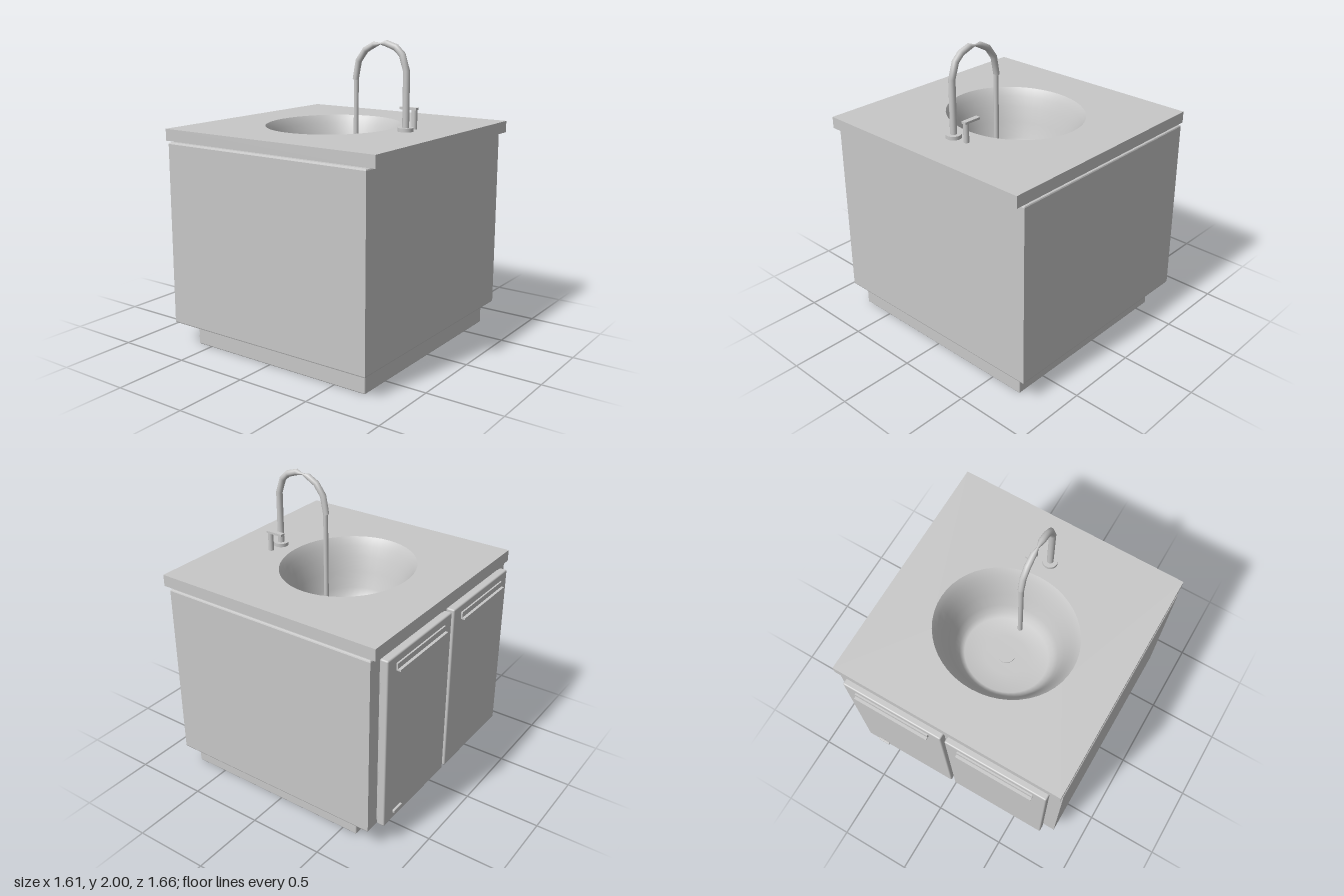
import * as THREE from 'three';
import { RoundedBoxGeometry } from 'three/addons/geometries/RoundedBoxGeometry.js';

const grey = new THREE.MeshStandardMaterial({ color: 0xc8c8c8 });
grey.name = 'grey';
const greyTwoSided = grey;
greyTwoSided.side = THREE.DoubleSide;

const BOWL_Z = -0.03, BOWL_RX = 0.475, BOWL_RZ = 0.43;

export function createModel() {
  const model = new THREE.Group();
  model.name = 'sinkCabinet';

  const add = (name, geometry, x = 0, y = 0, z = 0) => {
    const mesh = new THREE.Mesh(geometry, grey);
    mesh.name = name;
    mesh.position.set(x, y, z);
    model.add(mesh);
    return mesh;
  };
  // Box given by its limits, optionally with rounded edges
  const box = (name, x0, x1, y0, y1, z0, z1, r = 0) => {
    const s = [x1 - x0, y1 - y0, z1 - z0];
    const g = r ? new RoundedBoxGeometry(...s, 2, r) : new THREE.BoxGeometry(...s);
    return add(name, g, (x0 + x1) / 2, (y0 + y1) / 2, (z0 + z1) / 2);
  };
  // Horizontal slab with an oval opening for the bowl
  const slab = (name, hx, y0, y1, z0, z1, bevel, holeScale) => {
    const b = bevel;
    const s = new THREE.Shape();
    s.moveTo(-hx + b, -z1 + b);
    s.lineTo(hx - b, -z1 + b);
    s.lineTo(hx - b, -z0 - b);
    s.lineTo(-hx + b, -z0 - b);
    s.closePath();
    const hole = new THREE.Path();
    hole.absellipse(0, -BOWL_Z, BOWL_RX * holeScale, BOWL_RZ * holeScale, 0, Math.PI * 2, true);
    s.holes.push(hole);
    const g = new THREE.ExtrudeGeometry(s, {
      depth: y1 - y0 - 2 * b, curveSegments: 24,
      bevelEnabled: b > 0, bevelSize: b, bevelThickness: b, bevelSegments: 2,
    });
    g.rotateX(-Math.PI / 2);
    return add(name, g, 0, y0 + b, 0);
  };

  // Cabinet
  box('plinth', -0.73, 0.73, 0, 0.142, -0.605, 0.725, 0.008);
  box('plinthStrip', -0.7, 0.7, 0.028, 0.042, -0.634, -0.626);
  slab('cabinetBody', 0.806, 0.14, 1.353, -0.742, 0.775, 0.01, 1.03);
  slab('countertop', 0.8, 1.36, 1.437, -0.77, 0.83, 0, 1);

  // Doors with pull handles on the back
  for (const side of [-1, 1]) {
    const span = (a, b) => (side > 0 ? [a, b] : [-b, -a]);
    box('doorSeal', ...span(0.03, 0.71), 0.175, 1.32, -0.756, -0.738);
    box('door', ...span(0.014, 0.725), 0.16, 1.333, -0.805, -0.752, 0.01);
    box('handlePlate', ...span(0.105, 0.637), 1.235, 1.283, -0.816, -0.804);
    box('handleLip', ...span(0.105, 0.637), 1.235, 1.247, -0.835, -0.815);
  }
  box('doorTag', 0.54, 0.63, 0.205, 0.226, -0.82, -0.804, 0.004);

  // Oval bowl
  const profile = [
    [0, -0.42], [0.3, -0.42], [0.6, -0.415], [0.67, -0.39], [0.73, -0.33], [0.8, -0.22],
    [0.87, -0.12], [0.93, -0.055], [0.97, -0.02], [1, 0],
  ].map(([r, y]) => new THREE.Vector2(r, y));
  const bowl = new THREE.LatheGeometry(profile, 48);
  bowl.scale(BOWL_RX, 1, BOWL_RZ);
  add('bowl', bowl, 0, 1.437, BOWL_Z);
  add('drain', new THREE.CylinderGeometry(0.058, 0.058, 0.008, 32), 0, 1.02, BOWL_Z);

  // Arched tap, swept from [y, z, radius] stations with a pinch at the crown
  const stations = [
    [1.45, 0.525, 0.022], [1.81, 0.525, 0.022], [1.91, 0.492, 0.022], [1.953, 0.445, 0.022],
    [1.976, 0.375, 0.021], [1.972, 0.33, 0.006], [1.965, 0.285, 0.02], [1.93, 0.22, 0.021],
    [1.86, 0.168, 0.021], [1.74, 0.145, 0.02],
  ];
  const sides = 14, pos = [], index = [];
  stations.forEach(([y, z, r], i) => {
    const a = stations[Math.max(i - 1, 0)], b = stations[Math.min(i + 1, stations.length - 1)];
    const len = Math.hypot(b[0] - a[0], b[1] - a[1]);
    const ny = -(b[1] - a[1]) / len, nz = (b[0] - a[0]) / len;
    for (let j = 0; j < sides; j++) {
      const t = (j / sides) * Math.PI * 2, c = Math.cos(t) * r;
      pos.push(Math.sin(t) * r, y + ny * c, z + nz * c);
      if (i === 0) continue;
      const k = (j + 1) % sides, p = (i - 1) * sides, q = i * sides;
      index.push(p + j, p + k, q + j, p + k, q + k, q + j);
    }
  });
  const arch = new THREE.BufferGeometry();
  arch.setAttribute('position', new THREE.Float32BufferAttribute(pos, 3));
  arch.setIndex(index);
  arch.computeVertexNormals();
  add('tapArch', arch);
  add('tapBase', new THREE.CylinderGeometry(0.05, 0.05, 0.024, 32), 0, 1.449, 0.525);
  add('tapSpout', new THREE.CylinderGeometry(0.016, 0.016, 0.65, 16), 0, 1.425, 0.15);

  // Tap lever
  add('leverPost', new THREE.CylinderGeometry(0.018, 0.018, 0.125, 20), 0.108, 1.499, 0.523);
  box('lever', 0.091, 0.125, 1.559, 1.574, 0.42, 0.542);

  return model;
}
